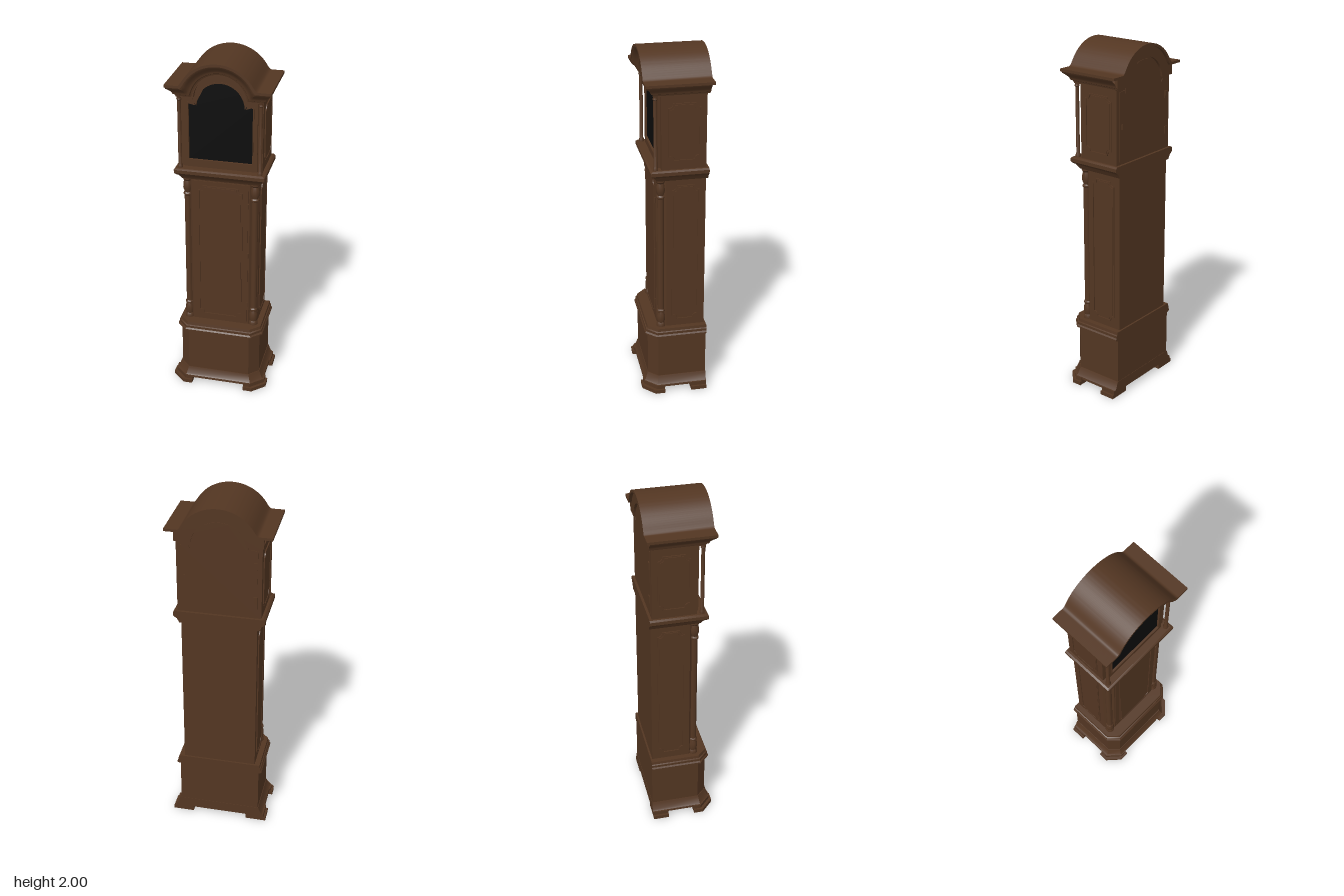
import * as THREE from 'three';
import { toCreasedNormals } from 'three/addons/utils/BufferGeometryUtils.js';

const wood = new THREE.MeshStandardMaterial({ color: 0x533622 });
wood.name = 'dark walnut';
const black = new THREE.MeshStandardMaterial({ color: 0x0b0b0b });
black.name = 'black glass';

const shapeOf = (pts) => new THREE.Shape(pts.map(([x, y]) => new THREE.Vector2(x, y)));

// Extrudes a shape from z0 to z1
function slab(shape, z0, z1) {
  const g = new THREE.ExtrudeGeometry(shape, { depth: z1 - z0, bevelEnabled: false, curveSegments: 20 });
  return toCreasedNormals(g.translate(0, 0, z0), 0.5);
}

// Joins rows of points (top or bottom first, given by order) into a skin
function skin(rows, caps) {
  const v = [];
  const n = rows[0].length;
  for (let r = 0; r + 1 < rows.length; r++) {
    const lo = rows[r], hi = rows[r + 1];
    for (let i = 0; i < (caps ? n : n - 1); i++) {
      const j = (i + 1) % n;
      v.push(...lo[i], ...lo[j], ...hi[j], ...lo[i], ...hi[j], ...hi[i]);
    }
  }
  if (caps) {
    const b = rows[0], t = rows[rows.length - 1];
    for (let i = 1; i + 1 < n; i++) v.push(...t[0], ...t[i], ...t[i + 1], ...b[0], ...b[i + 1], ...b[i]);
  }
  const g = new THREE.BufferGeometry();
  g.setAttribute('position', new THREE.Float32BufferAttribute(v, 3));
  g.computeVertexNormals();
  return toCreasedNormals(g, 0.5);
}

// Case section with cut front corners; each ring is [y, half width, front z, corner cut]
const tiers = (zb, rings) => skin(rings.map(([y, w, zf, c]) => [
  [-w, y, zb], [-w, y, zf - c], [-w + c, y, zf], [w - c, y, zf], [w, y, zf - c], [w, y, zb],
]), true);

// Arched cornice line, inset by d, from x = -w to w
function archLine(d, w) {
  const R = 0.219 - d, eave = 1.868 - d, k = 0.03, pts = [];
  for (let i = 0; i <= 80; i++) {
    const x = w * (i / 40 - 1), a = Math.abs(x);
    const arc = a < R ? 1.781 + Math.sqrt(R * R - a * a) : 1.781 - (a - R) * 3;
    const h = Math.max(k - Math.abs(arc - eave), 0) / k;
    pts.push([x, Math.max(arc, eave) + h * h * k / 4]);
  }
  return pts;
}
const archBand = (d0, d1, w) => shapeOf([...archLine(d1, w), ...archLine(d0, w).reverse()]);

// Straight-sided outline with shoulders and a round head
function roundHead(w, y0, shoulder, r, cy) {
  const s = new THREE.Shape();
  s.moveTo(-w, y0).lineTo(w, y0).lineTo(w, shoulder).lineTo(r + 0.008, shoulder + 0.006);
  s.lineTo(r, cy).absarc(0, cy, r, 0, Math.PI, false);
  s.lineTo(-r - 0.008, shoulder + 0.006).lineTo(-w, shoulder).closePath();
  return s;
}

// Rectangle with scooped corners
function scooped(w, h, r) {
  const s = new THREE.Shape(), P = Math.PI;
  s.moveTo(-w + r, -h).lineTo(w - r, -h).absarc(w, -h, r, P, P / 2, true);
  s.lineTo(w, h - r).absarc(w, h, r, -P / 2, -P, true);
  s.lineTo(-w + r, h).absarc(-w, h, r, 0, -P / 2, true);
  s.lineTo(-w, -h + r).absarc(-w, -h, r, P / 2, 0, true);
  return s;
}

export function createModel() {
  const model = new THREE.Group();
  model.name = 'longcaseClock';
  const add = (name, geo, mat = wood, parent = model) => {
    const m = new THREE.Mesh(geo, mat);
    m.name = name;
    parent.add(m);
    return m;
  };

  // Framed panel: raised field inside a bead
  function panel(name, w, h, r, place) {
    const g = new THREE.Group();
    g.name = name;
    const rim = scooped(w, h, r);
    rim.holes.push(scooped(w - 0.006, h - 0.006, r));
    add('panelBead', slab(rim, -0.002, 0.006), wood, g);
    add('panelField', slab(scooped(w - 0.01, h - 0.01, r), -0.002, 0.004), wood, g);
    place(g);
    model.add(g);
  }

  // Bracket feet, two steps each
  const frontFoot = [[0.155, 0.193], [0.208, 0.193], [0.28, 0.125], [0.28, 0.07], [0.215, 0.07], [0.215, 0.1], [0.19, 0.135], [0.155, 0.135]];
  const backFoot = [[0.28, -0.085], [0.28, -0.175], [0.16, -0.175], [0.16, -0.14], [0.215, -0.14], [0.215, -0.085]];
  for (const s of [-1, 1]) for (const [name, foot] of [['frontFoot', frontFoot], ['backFoot', backFoot]]) {
    [[0, 0.022, 0], [0.022, 0.045, 0.012]].forEach(([y0, y1, inset]) => {
      const pts = foot.map(([x, z]) => [s * (x > 0.2 ? x - inset : x), -(z > 0.1 ? z - inset : z)]);
      add(name, slab(shapeOf(pts), y0, y1).rotateX(-Math.PI / 2));
    });
  }

  // Base with flared skirt and top moulding
  add('skirt', tiers(-0.177, [[0.032, 0.262, 0.178, 0.066], [0.045, 0.26, 0.176, 0.065], [0.052, 0.252, 0.17, 0.06], [0.085, 0.239, 0.159, 0.055], [0.093, 0.236, 0.157, 0.054]]));
  add('base', tiers(-0.175, [[0.09, 0.233, 0.154, 0.053], [0.365, 0.233, 0.154, 0.053]]));
  add('baseMoulding', tiers(-0.177, [[0.355, 0.236, 0.157, 0.054], [0.36, 0.252, 0.17, 0.058], [0.368, 0.252, 0.17, 0.058], [0.376, 0.246, 0.164, 0.056], [0.39, 0.246, 0.164, 0.056], [0.394, 0.24, 0.158, 0.054], [0.41, 0.238, 0.155, 0.054]]));

  // Trunk
  add('trunk', tiers(-0.167, [[0.4, 0.208, 0.095, 0.045], [1.33, 0.208, 0.095, 0.045]]));
  add('trunkDoor', slab(shapeOf([[-0.155, 0.425], [0.155, 0.425], [0.155, 1.305], [-0.155, 1.305]]), 0.09, 0.099));
  panel('trunkDoorPanel', 0.125, 0.415, 0.026, (g) => g.position.set(0, 0.865, 0.099));
  for (const y of [0.55, 0.87, 1.18])
    add('doorHinge', new THREE.CylinderGeometry(0.004, 0.004, 0.03, 10).translate(0.157, y, 0.104));

  // Turned columns on the trunk corners
  const turned = [[0, 0.41], [0.026, 0.41], [0.026, 0.425], [0.021, 0.435], [0.025, 0.455], [0.024, 0.48], [0.018, 0.5], [0.023, 0.505], [0.023, 0.513], [0.018, 0.52],
    [0.018, 1.205], [0.023, 1.21], [0.023, 1.218], [0.017, 1.225], [0.025, 1.25], [0.024, 1.275], [0.019, 1.295], [0.026, 1.305], [0.026, 1.32], [0, 1.32]];
  const slim = [[0, 1.38], [0.014, 1.38], [0.014, 1.395], [0.01, 1.405], [0.01, 1.77], [0.014, 1.775], [0.011, 1.785], [0.014, 1.795], [0.014, 1.81], [0, 1.81]];
  const lathe = (pts) => toCreasedNormals(new THREE.LatheGeometry(pts.map(([x, y]) => new THREE.Vector2(x, y)), 20), 0.6);

  for (const s of [-1, 1]) {
    add('trunkColumn', lathe(turned).translate(s * 0.19, 0, 0.078));
    add('hoodColumn', lathe(slim).translate(s * 0.22, 0, 0.11));
    const side = (x, y, z) => (g) => {
      g.position.set(s * x, y, z);
      g.rotation.y = s * Math.PI / 2;
    };
    panel('trunkSidePanel', 0.075, 0.415, 0.026, side(0.208, 0.865, -0.056));
    panel('hoodSidePanel', 0.087, 0.16, 0.026, side(0.228, 1.59, -0.043));
  }

  // Moulding between trunk and hood
  add('waistMoulding', tiers(-0.177, [[1.315, 0.216, 0.105, 0.002], [1.325, 0.222, 0.11, 0.002], [1.34, 0.23, 0.122, 0.002], [1.346, 0.24, 0.13, 0.002], [1.356, 0.25, 0.14, 0.002], [1.375, 0.25, 0.14, 0.002], [1.383, 0.24, 0.13, 0.002]]));

  // Hood case and soffit
  add('hoodCase', slab(shapeOf([[-0.228, 1.375], [0.228, 1.375], ...archLine(0.06, 0.228).reverse()]), -0.163, 0.08));
  add('hoodSoffit', slab(archBand(0.06, 0.078, 0.235), -0.163, 0.12));

  // Hood door with its dark window
  const frame = roundHead(0.2, 1.386, 1.785, 0.15, 1.765);
  frame.holes.push(roundHead(0.174, 1.43, 1.75, 0.13, 1.742));
  add('hoodDoorFrame', slab(frame, 0.078, 0.094));
  const bead = roundHead(0.181, 1.423, 1.757, 0.137, 1.742);
  bead.holes.push(roundHead(0.174, 1.43, 1.75, 0.13, 1.742));
  add('windowBead', slab(bead, 0.09, 0.098));
  add('window', slab(roundHead(0.178, 1.426, 1.752, 0.132, 1.742), 0.08, 0.086), black);

  // Back door of the hood
  add('backDoor', slab(roundHead(0.205, 1.4, 1.775, 0.155, 1.76), -0.166, -0.16));
  for (const y of [1.49, 1.69])
    add('backHinge', new THREE.BoxGeometry(0.02, 0.04, 0.008).translate(-0.195, y, -0.167));
  add('backKnob', new THREE.BoxGeometry(0.008, 0.03, 0.006).translate(0.185, 1.59, -0.167));

  // Cornice moulding running along the sides and over the front arch
  const profile = [[0.072, 0], [0.064, 0.003], [0.06, 0.012], [0.052, 0.014], [0.045, 0.018], [0.032, 0.03], [0.022, 0.042], [0.012, 0.046]];
  add('cornice', skin(profile.map(([d, out]) => {
    const w = 0.235 + out, line = archLine(d, w).map(([x, y]) => [x, y, 0.122 + out]);
    return [[-w, line[0][1], -0.177], ...line, [w, line[80][1], -0.177]];
  })));
  add('corniceBack', slab(archBand(0.01, 0.072, 0.236), -0.177, -0.16));

  // Arched roof
  add('roof', slab(archBand(0, 0.014, 0.284), -0.193, 0.17));
  return model;
}
